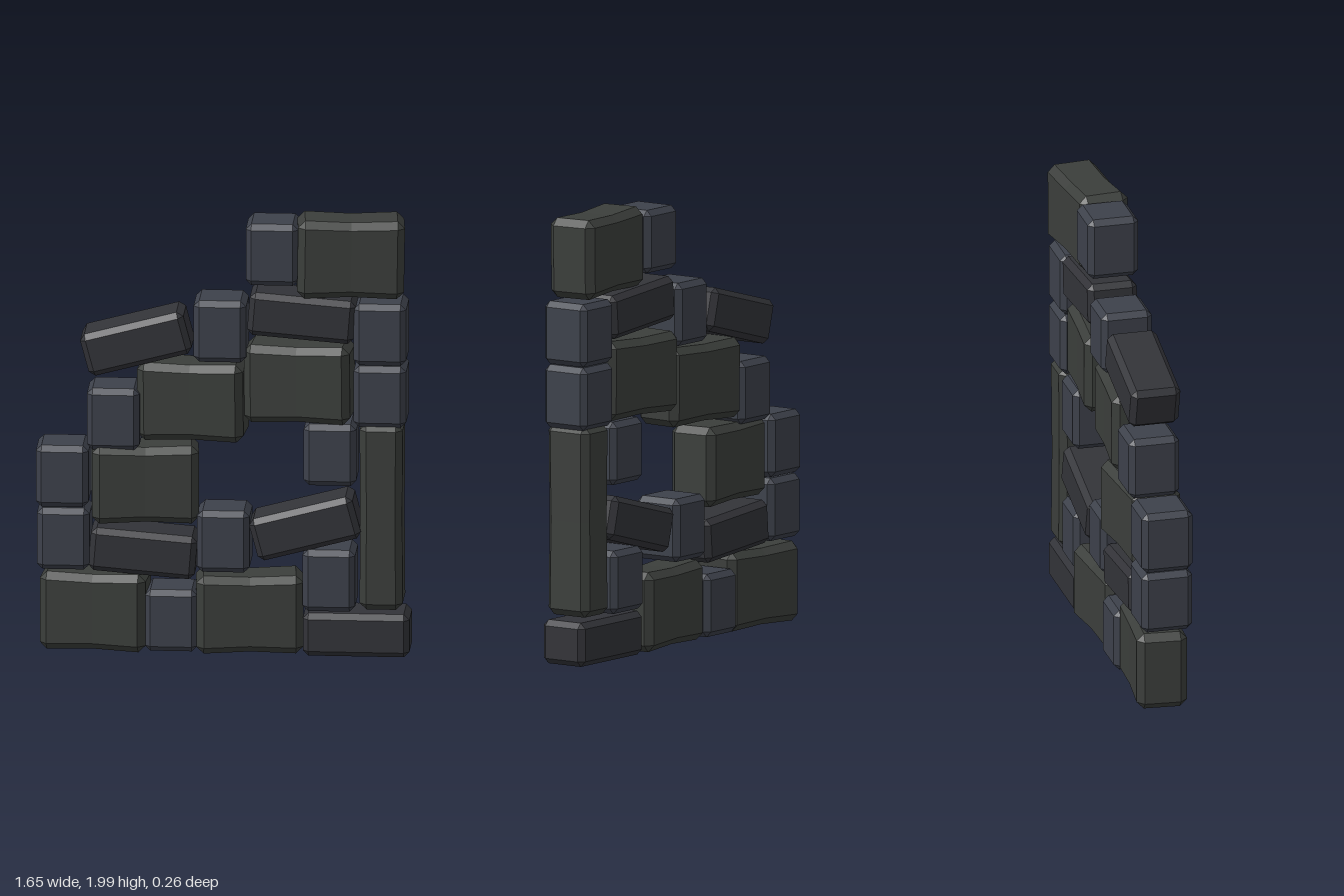
import * as THREE from 'three';

const stone = (color) => new THREE.MeshStandardMaterial({ color, flatShading: true, roughness: 0.9 });

// Box with flat chamfers; waist pinches the middle of a long stone slightly.
function chamferedBlock(w, h, d, c, waist = 0) {
  const half = [w / 2, h / 2, d / 2];
  const segments = [4, 3, 3];
  const geo = new THREE.BoxGeometry(1, 1, 1, ...segments);
  const pos = geo.attributes.position;
  for (let i = 0; i < pos.count; i++) {
    const p = [pos.getX(i), pos.getY(i), pos.getZ(i)];
    const outer = p.filter((v) => Math.abs(v) > 0.49).length;
    const inset = [0, 0, c / 2, (c * 2) / 3][outer];
    const q = p.map((v, a) => {
      if (Math.abs(v) < 0.01) return 0;
      return Math.sign(v) * (half[a] - (Math.abs(v) > 0.49 ? inset : c));
    });
    if (Math.abs(p[0]) < 0.01) {
      q[1] *= 1 - waist;
      q[2] *= 1 - waist;
    }
    pos.setXYZ(i, ...q);
  }
  const flat = geo.toNonIndexed();
  flat.computeVertexNormals();
  return flat;
}

export function createModel() {
  const wall = new THREE.Group();
  wall.name = 'ruinedStoneWall';

  // Each stone: x, y, roll about z, yaw about y (radians)
  const kinds = [
    {
      name: 'largeBlock',
      material: stone(0x3b3e3b),
      geometry: chamferedBlock(0.47, 0.355, 0.225, 0.032, 0.045),
      stones: [
        [-0.57, 0.19, 0, -0.08],
        [0.11, 0.19, 0, 0.08],
        [-0.35, 0.775, 0, 0.08],
        [-0.14, 1.155, 0.01, -0.08],
        [0.33, 1.245, 0.01, -0.08],
        [0.555, 1.82, -0.015, 0.09],
      ],
    },
    {
      name: 'smallBlock',
      material: stone(0x3d414b),
      geometry: chamferedBlock(0.232, 0.28, 0.23, 0.025),
      stones: [
        [-0.23, 0.16], [-0.705, 0.525], [0, 0.525], [0.465, 0.355],
        [-0.71, 0.81], [0.47, 0.93], [-0.485, 1.075], [0.69, 1.2],
        [0.69, 1.483], [-0.015, 1.485], [0.215, 1.84],
      ],
    },
    {
      name: 'flatBlock',
      material: stone(0x323338),
      geometry: chamferedBlock(0.47, 0.195, 0.225, 0.025),
      stones: [
        [0.585, 0.108, 0],
        [-0.355, 0.463, -0.08],
        [0.36, 0.59, 0.26],
        [0.345, 1.552, -0.08],
        [-0.385, 1.42, 0.26],
      ],
    },
    {
      name: 'uprightBlock',
      material: stone(0x3b3e3b),
      geometry: chamferedBlock(0.85, 0.19, 0.225, 0.03, 0.03),
      stones: [[0.695, 0.65, Math.PI / 2]],
    },
  ];

  for (const { name, material, geometry, stones } of kinds) {
    stones.forEach(([x, y, roll = 0, yaw = 0], i) => {
      const mesh = new THREE.Mesh(geometry, material);
      mesh.name = `${name}${i + 1}`;
      mesh.position.set(x, y, 0);
      mesh.rotation.set(0, yaw, roll);
      wall.add(mesh);
    });
  }
  return wall;
}
